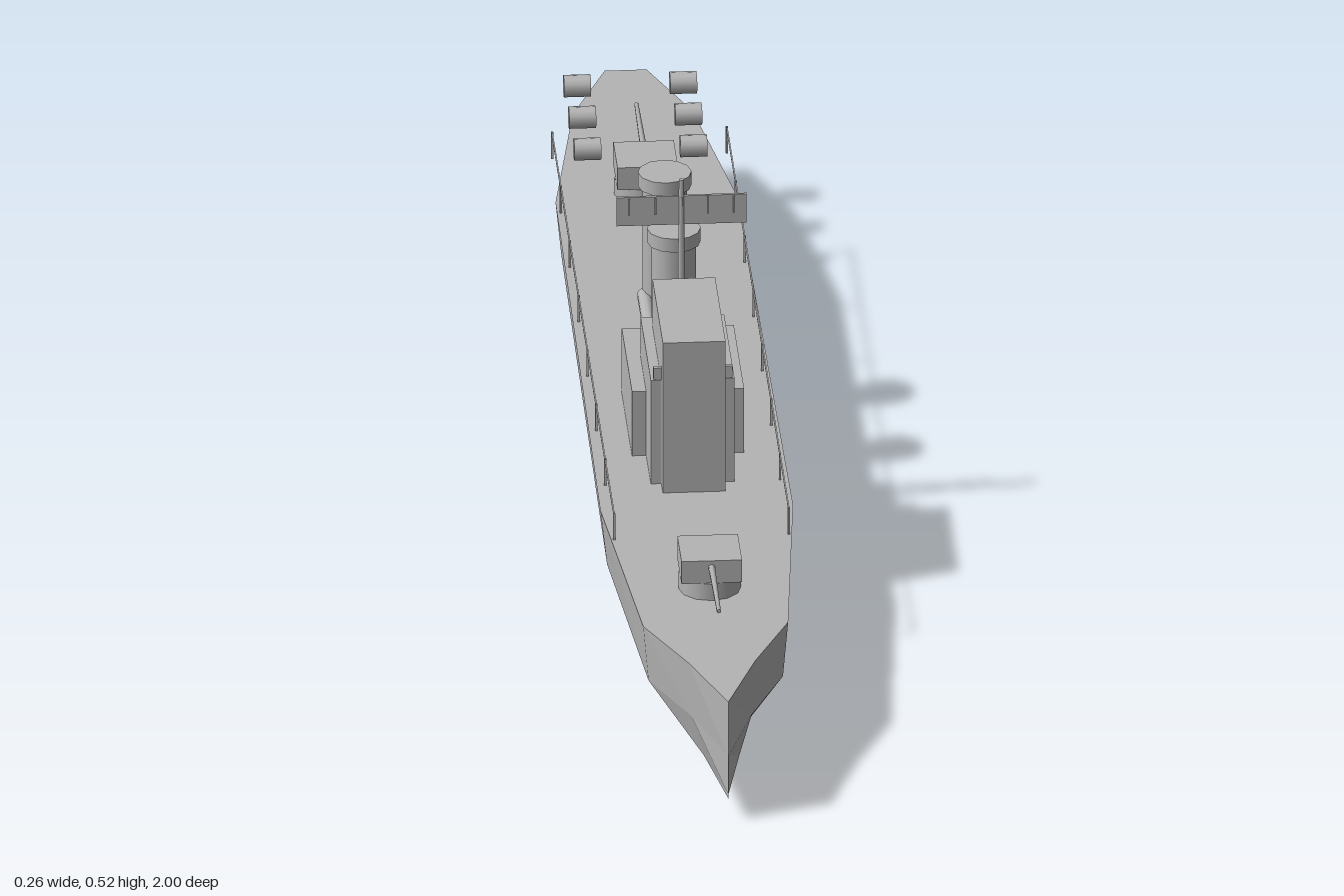
import * as THREE from 'three';

const grey = new THREE.MeshStandardMaterial({ color: 0xb4b4b4 });
grey.name = 'naval grey';

const DECK = 0.175;

function part(parent, name, geometry, x = 0, y = 0, z = 0) {
  const mesh = new THREE.Mesh(geometry, grey);
  mesh.name = name;
  mesh.position.set(x, y, z);
  parent.add(mesh);
  return mesh;
}

// Box given by its full width, bottom, top and z range
function block(parent, name, width, y0, y1, z0, z1, x = 0) {
  return part(parent, name, new THREE.BoxGeometry(width, y1 - y0, z1 - z0), x, (y0 + y1) / 2, (z0 + z1) / 2);
}

// Faceted hull lofted through stations:
// z, deck half width, chine half width, chine y, bilge half width, bilge y, keel y
function hullGeometry() {
  const stations = [
    [-0.95, 0.028, 0.024, 0.075, 0.013, 0.035, 0.024],
    [-0.82, 0.08, 0.073, 0.093, 0.04, 0.033, 0.021],
    [-0.55, 0.122, 0.114, 0.095, 0.06, 0.033, 0.02],
    [0.4, 0.129, 0.12, 0.095, 0.065, 0.035, 0.022],
    [0.76, 0.097, 0.09, 0.095, 0.047, 0.036, 0.026],
    [0.875, 0.045, 0.04, 0.095, 0.024, 0.037, 0.028],
    [1.0, 0, 0, 0.095, 0, 0.038, 0.032],
  ];
  const rings = stations.map(([z, d, c, cy, b, by, k]) => [
    [d, DECK, z], [c, cy, z], [b, by, z], [0, k, z],
    [-b, by, z], [-c, cy, z], [-d, DECK, z],
  ]);
  const pos = [];
  const tri = (a, b, c) => pos.push(...a, ...b, ...c);
  for (let i = 0; i < rings.length - 1; i++) {
    const p = rings[i], q = rings[i + 1], n = p.length;
    for (let j = 0; j < n; j++) {
      const k = (j + 1) % n;
      tri(p[j], q[j], p[k]);
      if (i < rings.length - 2) tri(p[k], q[j], q[k]);
      else if (j < n - 1) tri(p[k], q[j], q[k]);
    }
  }
  // Transom
  for (let j = 1; j < 6; j++) tri(rings[0][0], rings[0][j], rings[0][j + 1]);
  const g = new THREE.BufferGeometry();
  g.setAttribute('position', new THREE.Float32BufferAttribute(pos, 3));
  g.computeVertexNormals();
  return g;
}

function turret(name) {
  const g = new THREE.Group();
  g.name = name;
  part(g, 'turretBase', new THREE.CylinderGeometry(0.042, 0.042, 0.024, 12), 0, 0.012, 0);
  block(g, 'gunHouse', 0.081, 0.025, 0.058, -0.04, 0.04);
  const barrel = part(g, 'gunBarrel', new THREE.CylinderGeometry(0.003, 0.005, 0.15, 6), 0, 0.048, 0.1);
  barrel.rotation.x = Math.PI / 2;
  return g;
}

export function createModel() {
  const ship = new THREE.Group();
  ship.name = 'warship';

  part(ship, 'hull', hullGeometry());

  // Sonar dome under the bow
  part(ship, 'sonarDome', new THREE.SphereGeometry(1, 14, 10), 0, 0.025, 0.61).scale.set(0.032, 0.025, 0.052);

  // Stepped superstructure
  block(ship, 'bridgeTower', 0.084, DECK, 0.397, 0.155, 0.352);
  block(ship, 'middleHouse', 0.112, DECK, 0.328, 0.127, 0.323);
  block(ship, 'rearHouse', 0.15, DECK, 0.27, 0.04, 0.235);
  block(ship, 'bridgeWings', 0.106, 0.333, 0.35, 0.325, 0.331);

  // Mast with radar panel and its dipoles
  part(ship, 'mast', new THREE.CylinderGeometry(0.0035, 0.005, 0.177, 8), 0, 0.4335, 0.11);
  block(ship, 'radarPanel', 0.174, 0.456, 0.498, 0.107, 0.111);
  for (const x of [-0.07, -0.035, 0, 0.035, 0.07])
    block(ship, 'radarDipole', 0.002, 0.473, 0.497, 0.111, 0.115, x);

  // Funnels with wider caps
  for (const z of [-0.035, -0.208]) {
    part(ship, 'funnel', new THREE.CylinderGeometry(0.03, 0.03, 0.19, 12), 0, DECK + 0.095, z);
    part(ship, 'funnelCap', new THREE.CylinderGeometry(0.036, 0.036, 0.02, 12), 0, 0.371, z);
  }

  // Torpedo tubes beside the funnels
  for (const x of [-0.027, 0, 0.027]) {
    const tube = part(ship, 'torpedoTube', new THREE.CylinderGeometry(0.01, 0.01, 0.25, 10), x, 0.199, -0.085);
    tube.rotation.x = Math.PI / 2;
  }

  // Gun turrets fore and aft
  const fore = turret('foreTurret');
  fore.position.set(0, DECK, 0.645);
  const aft = turret('aftTurret');
  aft.position.set(0, DECK, -0.57);
  aft.rotation.y = Math.PI;
  ship.add(fore, aft);

  for (const side of [-1, 1]) {
    // Depth charges along the stern
    for (const z of [-0.67, -0.768, -0.865]) {
      const drum = part(ship, 'depthCharge', new THREE.CylinderGeometry(0.015, 0.015, 0.036, 12), side * 0.071, 0.195, z);
      drum.rotation.z = Math.PI / 2;
    }
    // Railing posts and rail
    for (let i = 0; i < 8; i++)
      block(ship, 'railPost', 0.003, DECK, 0.214, 0.4885 - i * 0.168, 0.4915 - i * 0.168, side * 0.117);
    block(ship, 'handRail', 0.002, 0.211, 0.213, -0.688, 0.49, side * 0.117);
  }

  // Propeller behind the transom
  const propeller = new THREE.Group();
  propeller.name = 'propeller';
  propeller.position.set(0, 0.08, -0.99);
  const shaft = part(propeller, 'propellerShaft', new THREE.CylinderGeometry(0.006, 0.006, 0.055, 8), 0, 0, 0.0175);
  shaft.rotation.x = Math.PI / 2;
  for (let i = 0; i < 4; i++) {
    const arm = new THREE.Group();
    arm.name = 'propellerBlade';
    arm.rotation.z = i * Math.PI / 2;
    const blade = part(arm, 'blade', new THREE.SphereGeometry(1, 10, 8), 0, 0.028, 0);
    blade.scale.set(0.01, 0.025, 0.003);
    blade.rotation.y = 0.4;
    propeller.add(arm);
  }
  ship.add(propeller);

  return ship;
}
